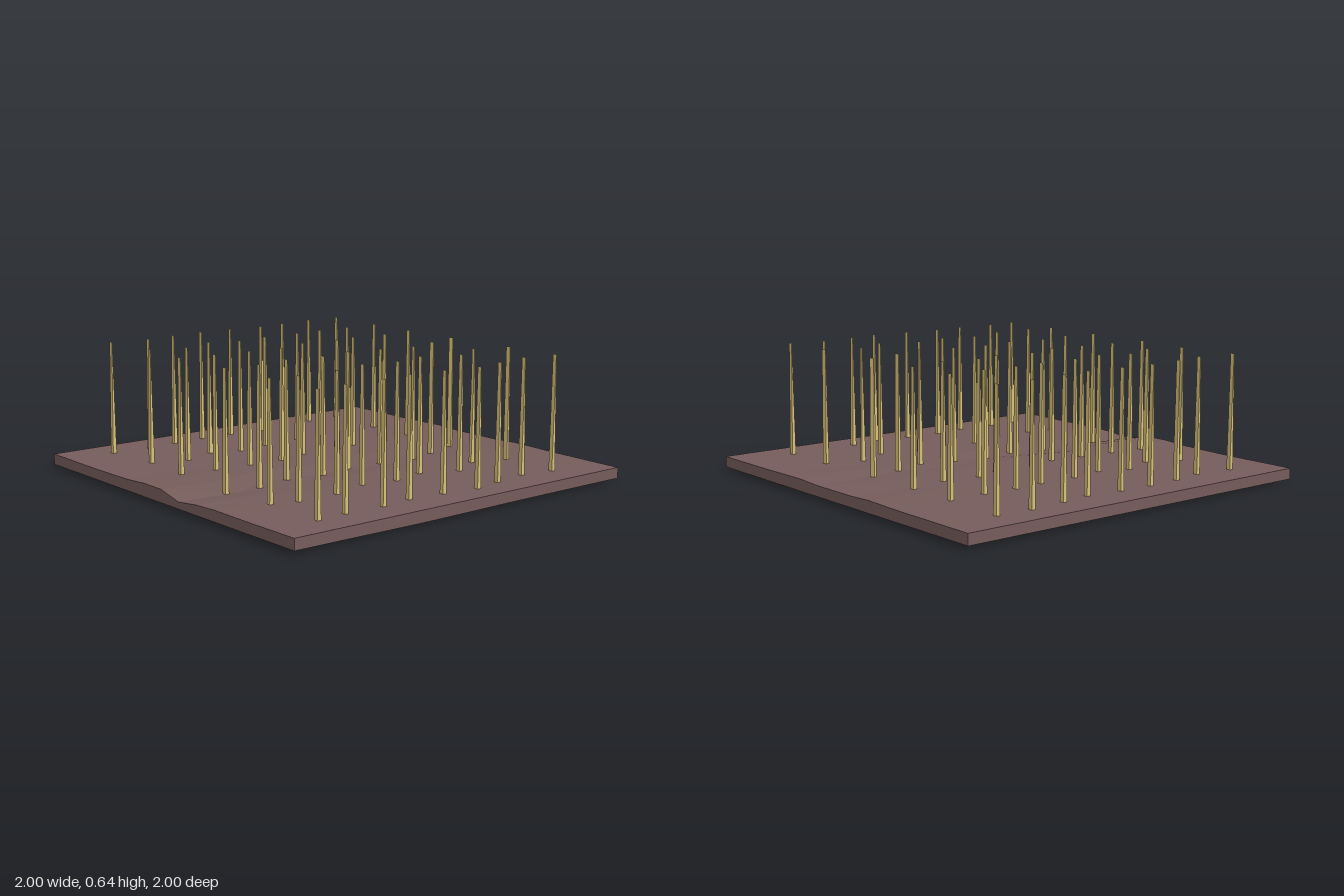
import * as THREE from 'three';

// Stake positions: six columns, each a list of x, z pairs from back to front
const COLUMNS = [
  [-.84, -.72, -.85, -.53, -.83, -.33, -.81, -.17, -.83, .02, -.84, .2, -.83, .38, -.8, .55, -.83, .75],
  [-.49, -.7, -.49, -.51, -.5, -.33, -.49, -.17, -.49, .04, -.46, .22, -.52, .37, -.45, .55, -.52, .72],
  [-.21, -.7, -.17, -.5, -.2, -.31, -.17, -.18, -.2, .02, -.14, .2, -.16, .38, -.18, .57, -.21, .75],
  [.13, -.69, .18, -.51, .23, -.34, .19, -.16, .16, .02, .19, .2, .15, .39, .19, .58, .16, .75],
  [.53, -.7, .47, -.52, .56, -.35, .48, -.16, .52, .02, .48, .2, .54, .4, .54, .62, .5, .75],
  [.84, -.7, .81, -.52, .84, -.33, .87, -.17, .84, .02, .82, .21, .84, .38, .83, .59, .84, .75],
];
// Twisted stakes, keyed by column-row
const TWIST = { '3-0': 0.4, '3-1': 0.25, '3-2': -0.2, '4-0': 0.25, '4-1': -0.2 };

const bump = (x, c, w) => Math.exp(-(((x - c) / w) ** 2));

// Gently uneven soil surface with a furrow that deepens towards the front
function topHeight(x, z) {
  const front = (z + 1) / 2;
  return 0.069
    + 0.014 * front * bump(x, -0.06, 0.14)
    - 0.024 * front * bump(x, 0.17, 0.1)
    + 0.008 * (1 - front) * (bump(x, -0.33, 0.1) + bump(x, 0.33, 0.12))
    + 0.0025 * Math.sin(7 * x + 3 * z) * Math.cos(5 * z - 2 * x) * (1 - x * x);
}

function bottomHeight(x, z) {
  return 0.015 - 0.015 * bump(x, 0.5, 0.45) * bump(z, 0.28, 0.4);
}

function makeSoil() {
  const geo = new THREE.BoxGeometry(2, 1, 2, 14, 1, 8);
  const p = geo.attributes.position;
  for (let i = 0; i < p.count; i++) {
    let x = p.getX(i), z = p.getZ(i);
    // skew the inner grid so the facets look irregular
    if (Math.abs(x) < 0.99 && Math.abs(z) < 0.99) {
      const dx = 0.035 * Math.sin(9 * z + 4 * x), dz = 0.06 * Math.sin(8 * x - 3 * z);
      x += dx;
      z += dz;
    }
    p.setXYZ(i, x, p.getY(i) > 0 ? topHeight(x, z) : bottomHeight(x, z), z);
  }
  const flat = geo.toNonIndexed();
  flat.computeVertexNormals();
  const soil = new THREE.Mesh(flat, new THREE.MeshStandardMaterial({ color: 0x755c5b, flatShading: true }));
  soil.name = 'soil';
  return soil;
}

// Square foot tapering in depth to a thin chisel edge at the top
function makeStakeGeometry() {
  const bottom = 0.035, top = 0.64, h = top - bottom;
  const geo = new THREE.BoxGeometry(0.022, h, 0.022);
  const p = geo.attributes.position;
  for (let i = 0; i < p.count; i++) if (p.getY(i) > 0) p.setZ(i, p.getZ(i) * 0.1);
  geo.translate(0, bottom + h / 2, 0);
  geo.computeVertexNormals();
  return geo;
}

export function createModel() {
  const model = new THREE.Group();
  model.name = 'plantedField';
  model.add(makeSoil());

  const stakes = new THREE.Group();
  stakes.name = 'stakes';
  const geo = makeStakeGeometry();
  const mat = new THREE.MeshStandardMaterial({ color: 0xd9c27a, flatShading: true });
  COLUMNS.forEach((column, c) => {
    for (let r = 0; r < column.length / 2; r++) {
      const stake = new THREE.Mesh(geo, mat);
      stake.name = 'stake';
      stake.position.set(column[2 * r], 0, column[2 * r + 1]);
      stake.rotation.y = TWIST[`${c}-${r}`] || 0;
      stakes.add(stake);
    }
  });
  model.add(stakes);
  return model;
}
